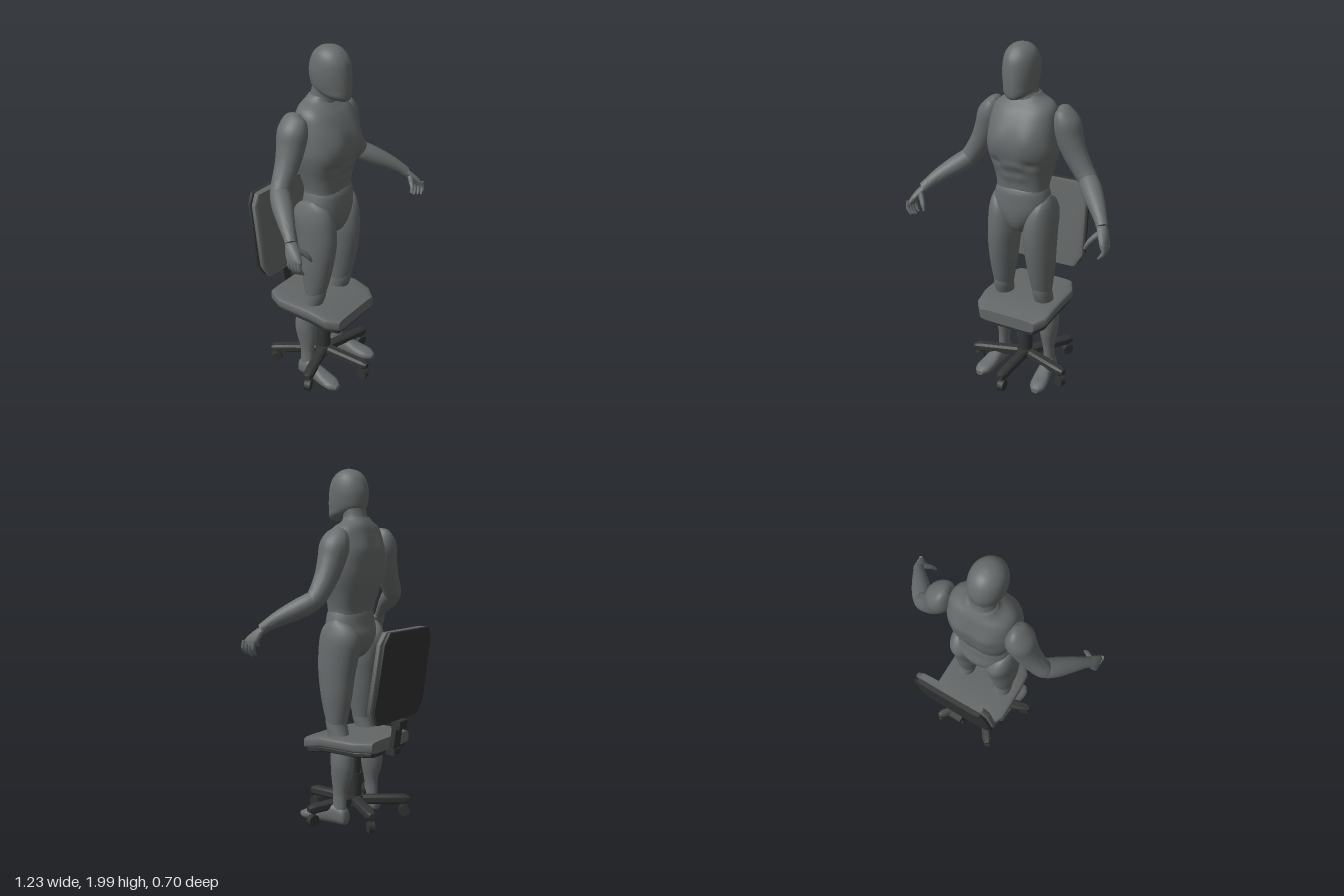
import * as THREE from 'three';
import { toCreasedNormals } from 'three/addons/utils/BufferGeometryUtils.js';

const material = (name, color) => {
  const m = new THREE.MeshStandardMaterial({ color });
  m.name = name;
  return m;
};

const DOWN = new THREE.Vector3(0, -1, 0);
const FORWARD = new THREE.Vector3(0, 0, 1);

// Skin over cross-sections [x, y, z, halfWidth, halfDepth]; rings face `axis`, or follow the path
function loft(sections, { axis = null, sides = 24, steps = 4, power = 2, relief = null, crease = 0.9 } = {}) {
  const path = new THREE.CatmullRomCurve3(sections.map(s => new THREE.Vector3(s[0], s[1], s[2])), false, 'catmullrom');
  const size = new THREE.CatmullRomCurve3(sections.map(s => new THREE.Vector3(s[3], s[4], 0)), false, 'catmullrom');
  const rings = (sections.length - 1) * steps;
  const pos = [], index = [];
  const soft = v => Math.sign(v) * Math.pow(Math.abs(v), 2 / power);
  for (let i = 0; i <= rings; i++) {
    const c = path.getPoint(i / rings), r = size.getPoint(i / rings);
    const t = axis || path.getTangent(i / rings);
    const u = new THREE.Vector3(1, 0, 0).addScaledVector(t, -t.x).normalize();
    const v = new THREE.Vector3().crossVectors(t, u);
    for (let j = 0; j < sides; j++) {
      const a = ((j + 0.5) / sides) * Math.PI * 2;
      const p = c.clone()
        .addScaledVector(u, soft(Math.cos(a)) * Math.max(r.x, 0.001))
        .addScaledVector(v, soft(Math.sin(a)) * Math.max(r.y, 0.001));
      if (relief) relief(p, Math.sin(a));
      pos.push(p.x, p.y, p.z);
    }
  }
  for (let i = 0; i < rings; i++) {
    for (let j = 0; j < sides; j++) {
      const k = (j + 1) % sides, a = i * sides, b = a + sides;
      index.push(a + j, a + k, b + j, a + k, b + k, b + j);
    }
  }
  // End caps
  for (let j = 1; j < sides - 1; j++) {
    const e = rings * sides;
    index.push(0, j + 1, j, e, e + j, e + j + 1);
  }
  const g = new THREE.BufferGeometry();
  g.setAttribute('position', new THREE.Float32BufferAttribute(pos, 3));
  g.setIndex(index);
  return toCreasedNormals(g, crease);
}

// Level body sections written as [x, y, zFront, zBack, halfWidth]
const level = rows => rows.map(([x, y, f, b, w]) => [x, y, (f + b) / 2, w, (f - b) / 2]);
const mirror = (rows, s) => rows.map(r => [s * r[0], ...r.slice(1)]);

// Muscle relief: [x, y, side (1 front, -1 back), spreadX, spreadY, height], applied on both halves
const muscles = [
  [0.09, 1.5, 1, 0.07, 0.07, 0.014], [0, 1.5, 1, 0.012, 0.1, -0.012],
  [0, 1.3, 1, 0.01, 0.12, -0.008], [0.04, 1.36, 1, 0.03, 0.022, 0.009],
  [0.04, 1.29, 1, 0.03, 0.022, 0.009], [0.1, 1.37, 1, 0.04, 0.02, -0.012],
  [0, 1.42, -1, 0.018, 0.18, -0.02], [0.09, 1.57, -1, 0.05, 0.06, 0.01],
];
function sculpt(p, facing) {
  for (const [x, y, side, sx, sy, h] of muscles) {
    if (facing * side <= 0) continue;
    const d = ((Math.abs(p.x) - x) / sx) ** 2 + ((p.y - y) / sy) ** 2;
    p.z += side * h * Math.exp(-d) * Math.min(1, Math.abs(facing) * 2);
  }
}

export function createModel() {
  const model = new THREE.Group();
  const skin = material('figureGrey', 0x676b6b);
  const fabric = material('cushionGrey', 0x636666);
  const plastic = material('darkPlastic', 0x323333);
  const add = (name, geometry, mat, parent = model) => {
    const mesh = new THREE.Mesh(geometry, mat);
    mesh.name = name;
    parent.add(mesh);
    return mesh;
  };
  const group = (name, parent = model) => {
    const g = new THREE.Group();
    g.name = name;
    parent.add(g);
    return g;
  };

  // Head, neck, torso and pelvis
  const figure = group('figure');
  const body = (name, rows, opts) => add(name, loft(level(rows), { axis: DOWN, ...opts }), skin, figure);
  body('head', [
    [0, 2.0, 0.075, 0.055, 0.01], [0, 1.988, 0.115, 0.01, 0.045], [0, 1.96, 0.15, -0.025, 0.075],
    [0, 1.92, 0.174, -0.045, 0.09], [0, 1.87, 0.184, -0.055, 0.095], [0, 1.82, 0.188, -0.05, 0.092],
    [0, 1.78, 0.189, -0.035, 0.085], [0, 1.75, 0.188, 0.02, 0.074], [0, 1.727, 0.184, 0.09, 0.046],
    [0, 1.717, 0.17, 0.12, 0.022],
  ], { sides: 32 });
  body('neck', [
    [0, 1.84, 0.1, -0.035, 0.065], [0, 1.78, 0.1, -0.036, 0.07], [0, 1.73, 0.088, -0.048, 0.074],
    [0, 1.69, 0.09, -0.07, 0.1], [0, 1.65, 0.09, -0.07, 0.1],
  ]);
  body('torso', [
    [0, 1.735, 0.075, -0.05, 0.076], [0, 1.71, 0.08, -0.066, 0.1], [0, 1.683, 0.105, -0.08, 0.15],
    [0, 1.65, 0.135, -0.09, 0.176], [0, 1.6, 0.165, -0.103, 0.187], [0, 1.54, 0.187, -0.115, 0.195],
    [0, 1.45, 0.202, -0.11, 0.2], [0, 1.38, 0.193, -0.1, 0.188], [0, 1.3, 0.168, -0.078, 0.165],
    [0, 1.22, 0.158, -0.055, 0.148], [0, 1.15, 0.158, -0.05, 0.148], [0, 1.1, 0.14, -0.04, 0.12],
  ], { sides: 48, steps: 6, power: 2.4, relief: sculpt });
  body('pelvis', [
    [0, 1.23, 0.15, -0.045, 0.14], [0, 1.2, 0.168, -0.057, 0.153], [0, 1.14, 0.174, -0.065, 0.166],
    [0, 1.08, 0.176, -0.08, 0.158], [0, 1.02, 0.168, -0.07, 0.11], [0, 0.97, 0.145, -0.04, 0.055],
    [0, 0.94, 0.1, 0.01, 0.02],
  ], { power: 2.2 });

  // Limbs, left then right
  for (const s of [1, -1]) {
    const side = s > 0 ? 'left' : 'right';
    const limb = (name, rows, opts) => add(side + name, loft(mirror(rows, s), opts), skin, figure);
    const leg = (name, rows) => limb(name, level(rows), { axis: DOWN });
    leg('Thigh', [
      [0.145, 1.17, 0.08, 0.02, 0.02], [0.133, 1.13, 0.14, -0.05, 0.05], [0.118, 1.06, 0.172, -0.086, 0.082],
      [0.113, 0.95, 0.184, -0.066, 0.09], [0.117, 0.85, 0.178, -0.045, 0.086], [0.121, 0.75, 0.162, -0.032, 0.079],
      [0.124, 0.65, 0.14, -0.015, 0.066], [0.126, 0.58, 0.118, 0.0, 0.056],
    ]);
    leg('Shin', [
      [0.126, 0.65, 0.125, 0.0, 0.05], [0.127, 0.58, 0.125, -0.002, 0.056], [0.132, 0.5, 0.1, -0.025, 0.055],
      [0.14, 0.42, 0.08, -0.055, 0.06], [0.145, 0.35, 0.076, -0.062, 0.06], [0.147, 0.28, 0.074, -0.054, 0.05],
      [0.152, 0.2, 0.062, -0.028, 0.035], [0.155, 0.14, 0.06, -0.024, 0.031], [0.157, 0.06, 0.06, -0.026, 0.034],
    ]);
    limb('Foot', [
      [0.155, 0.045, -0.036, 0.018, 0.025], [0.156, 0.055, -0.02, 0.034, 0.047], [0.16, 0.065, 0.04, 0.037, 0.057],
      [0.168, 0.056, 0.1, 0.042, 0.047], [0.178, 0.043, 0.17, 0.049, 0.034], [0.185, 0.036, 0.23, 0.045, 0.026],
      [0.188, 0.03, 0.268, 0.02, 0.014],
    ], { axis: FORWARD, power: 2.5 });
    limb('UpperArm', [
      [0.195, 1.672, -0.005, 0.012, 0.02], [0.207, 1.645, -0.008, 0.042, 0.065], [0.228, 1.58, -0.008, 0.075, 0.085],
      [0.252, 1.5, -0.004, 0.073, 0.077], [0.287, 1.42, 0.0, 0.066, 0.066], [0.335, 1.345, 0.006, 0.058, 0.057],
      [0.37, 1.3, 0.015, 0.054, 0.052], [0.4, 1.27, 0.035, 0.045, 0.045],
    ]);
    limb('Forearm', [
      [0.355, 1.315, 0.006, 0.045, 0.045], [0.385, 1.285, 0.03, 0.055, 0.054], [0.43, 1.25, 0.08, 0.055, 0.054],
      [0.485, 1.21, 0.145, 0.045, 0.044], [0.53, 1.17, 0.2, 0.034, 0.033], [0.552, 1.145, 0.228, 0.031, 0.029],
    ]);
    limb('Palm', [
      [0.545, 1.155, 0.218, 0.026, 0.028], [0.565, 1.125, 0.245, 0.025, 0.038],
      [0.584, 1.09, 0.268, 0.02, 0.047], [0.592, 1.066, 0.28, 0.014, 0.044],
    ], { axis: DOWN, power: 2.5, sides: 16 });
    // Fingers fan out toward the front and curl inward
    for (let f = 0; f < 4; f++) {
      const z = 0.246 + f * 0.022, out = 0.592 + f * 0.002, drop = 0.006 * Math.abs(f - 1);
      limb('Finger' + (f + 1), [
        [out, 1.085, z, 0.012, 0.012], [out + 0.004, 1.05, z + 0.004, 0.012, 0.012],
        [out - 0.006, 1.02 + drop, z + 0.008, 0.01, 0.01], [out - 0.022, 1.001 + drop, z + 0.011, 0.006, 0.006],
      ], { sides: 8, steps: 3 });
    }
    limb('Thumb', [
      [0.56, 1.13, 0.25, 0.017, 0.017], [0.528, 1.1, 0.28, 0.015, 0.015],
      [0.508, 1.075, 0.3, 0.012, 0.012], [0.494, 1.045, 0.31, 0.007, 0.007],
    ], { sides: 8, steps: 3 });
  }

  // Seat: cushion over a dark pan, front edge sloping down
  const chair = group('chair');
  const slab = { steps: 1, sides: 32, power: 6, crease: 0.6 };
  const outline = [[-0.225, 0.185, 0], [-0.13, 0.233, 0], [0.1, 0.235, 0], [0.2, 0.226, 0.022], [0.262, 0.175, 0.04]];
  const seat = (y, h, inset) => loft(outline.map(([z, w, d]) => [0, y - d, z * (1 - inset), w * (1 - inset), h]),
    { ...slab, axis: FORWARD });
  add('seatCushion', seat(0.487, 0.034, 0), fabric, chair);
  add('seatPan', seat(0.445, 0.018, 0.06), plastic, chair);

  // Backrest leaning backward
  const backRows = [[1.13, 0.195], [1.07, 0.233], [0.7, 0.243], [0.625, 0.2]];
  const back = (front, rear) => loft(level(backRows.map(([y, w]) => {
    const z = -0.245 - 0.15 * (y - 0.64);
    return [0, y, z + front, z + rear, w];
  })), { ...slab, axis: DOWN });
  add('backCushion', back(0.033, -0.008), fabric, chair);
  add('backShell', back(-0.006, -0.035), plastic, chair);

  // Bracket joining seat and backrest
  const box = (name, w, h, d, y, z, tilt = 0) => {
    const m = add(name, new THREE.BoxGeometry(w, h, d), plastic, chair);
    m.position.set(0, y, z);
    m.rotation.x = tilt;
  };
  box('underBar', 0.065, 0.035, 0.33, 0.44, -0.105);
  box('backPost', 0.065, 0.18, 0.028, 0.51, -0.256, -0.15);
  box('backJoint', 0.075, 0.05, 0.055, 0.6, -0.28, -0.1);

  // Column and five-star base with casters
  const base = group('base', chair);
  base.position.z = 0.027;
  const cylinder = (name, r, h, y, sides, parent) => {
    const m = add(name, toCreasedNormals(new THREE.CylinderGeometry(r, r, h, sides), 0.9), plastic, parent);
    m.position.y = y;
    return m;
  };
  cylinder('columnUpper', 0.033, 0.18, 0.34, 12, base);
  cylinder('columnLower', 0.041, 0.18, 0.18, 12, base);
  cylinder('hub', 0.055, 0.055, 0.108, 10, base);
  for (let i = 0; i < 5; i++) {
    const spoke = group('spoke' + (i + 1), base);
    spoke.rotation.y = (i * Math.PI * 2) / 5;
    add('baseArm', loft([
      [0, 0.108, 0.01, 0.032, 0.028], [0, 0.108, 0.29, 0.03, 0.027], [0, 0.108, 0.32, 0.018, 0.016],
    ], { axis: FORWARD, steps: 1, sides: 8, power: 3, crease: 0.4 }), plastic, spoke);
    const stem = cylinder('casterStem', 0.012, 0.06, 0.07, 6, spoke);
    stem.position.z = 0.285;
    const wheel = cylinder('casterWheel', 0.034, 0.036, 0.04, 8, spoke);
    wheel.rotation.z = Math.PI / 2;
    wheel.position.z = 0.29;
  }

  // Rest the lowest point on the ground
  const bounds = new THREE.Box3().setFromObject(model);
  model.position.y = -bounds.min.y;
  return model;
}
